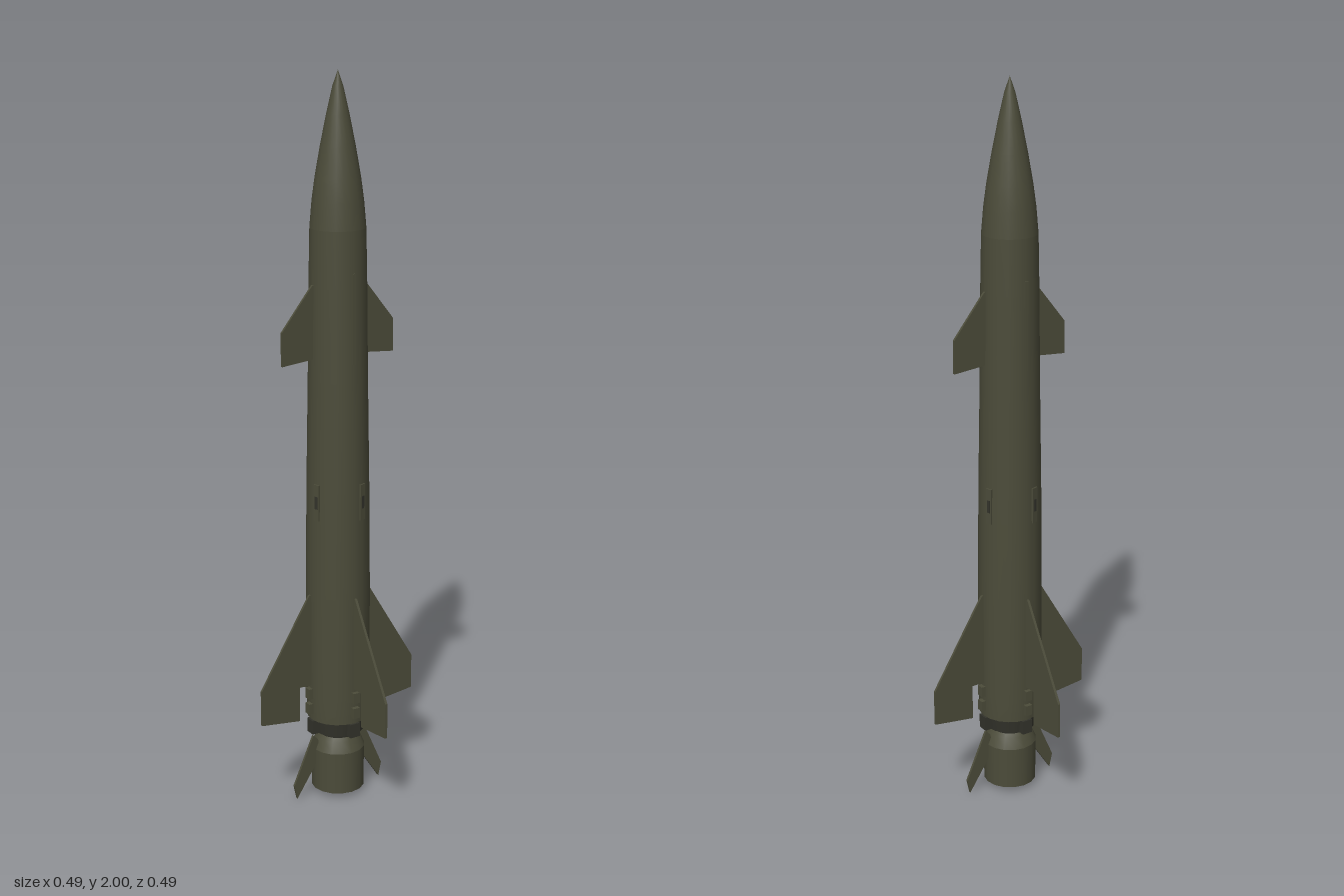
import * as THREE from 'three';

export function createModel() {
  const root = new THREE.Group();
  root.name = 'missile';
  const olive = new THREE.MeshStandardMaterial({ color: 0x4c4c3a });
  olive.name = 'olive paint';
  const dark = new THREE.MeshStandardMaterial({ color: 0x33332b });
  dark.name = 'dark metal';

  const add = (name, geometry, material, parent = root) => {
    const mesh = new THREE.Mesh(geometry, material);
    mesh.name = name;
    parent.add(mesh);
    return mesh;
  };
  const lathe = (points, sides) =>
    new THREE.LatheGeometry(points.map(([r, y]) => new THREE.Vector2(r, y)), sides);

  // Flat plate drawn in the radial (r, y) plane, turned to its place round the body
  const plate = (name, outline, thickness, angle) => {
    const shape = new THREE.Shape(outline.map(([r, y]) => new THREE.Vector2(r, y)));
    const geometry = new THREE.ExtrudeGeometry(shape, { depth: thickness, bevelEnabled: false });
    geometry.translate(0, 0, -thickness / 2);
    add(name, geometry, olive).rotation.y = angle;
  };

  // Box mounted on the skin at a given radius, height and angle
  const block = (name, r, y, angle, [depth, height, width], material) => {
    const geometry = new THREE.BoxGeometry(depth, height, width);
    geometry.translate(r, y, 0);
    add(name, geometry, material).rotation.y = angle;
  };

  // Fuselage: slowly tapering tube and pointed nose
  add('fuselage', lathe([[0, 0.23], [0.086, 0.23]], 20), olive);
  add('fuselageSkin', lathe([
    [0.086, 0.23], [0.088, 0.3], [0.088, 0.6], [0.085, 0.9], [0.08, 1.2],
    [0.077, 1.45], [0.074, 1.6],
  ], 20), olive);
  add('noseCone', lathe([
    [0.074, 1.6], [0.068, 1.67], [0.06, 1.73], [0.046, 1.81], [0.03, 1.89],
    [0.014, 1.96], [0, 2],
  ], 20), olive);

  // Coupling ring and waist between fuselage and booster
  add('couplingRing', new THREE.CylinderGeometry(0.08, 0.074, 0.045, 16), dark).position.y = 0.212;
  add('waist', new THREE.CylinderGeometry(0.06, 0.05, 0.05, 16), dark).position.y = 0.18;

  // Booster with a sloped shoulder and a recessed nozzle
  add('boosterShoulder', lathe([[0.075, 0.135], [0.062, 0.165], [0.048, 0.185]], 16), olive);
  add('boosterCase', lathe([[0.074, 0.015], [0.075, 0.135]], 16), olive);
  add('boosterNozzle', lathe([[0, 0.06], [0.035, 0.055], [0.056, 0.015], [0.074, 0.015]], 16), dark);

  for (let i = 0; i < 4; i++) {
    const angle = i * Math.PI / 2;
    // Main fins with the trailing notch beside the body
    plate('mainFin', [
      [0.08, 0.6], [0.08, 0.335], [0.125, 0.335], [0.125, 0.235],
      [0.245, 0.25], [0.245, 0.35], [0.093, 0.6],
    ].reverse(), 0.007, angle);
    // Hinge blocks behind each fin root
    for (const y of [0.265, 0.31]) block('finHinge', 0.088, y, angle, [0.022, 0.03, 0.02], olive);
    block('couplingLug', 0.08, 0.21, angle, [0.022, 0.04, 0.03], dark);
    // Small hatches at mid body
    block('bodyHatch', 0.0845, 0.87, angle + 0.3, [0.008, 0.1, 0.018], olive);
    block('hatchLatch', 0.0865, 0.87, angle + 0.3, [0.006, 0.035, 0.009], dark);
  }

  // Left and right surfaces
  for (const angle of [0, Math.PI]) {
    plate('frontFin', [
      [0.06, 1.26], [0.172, 1.25], [0.172, 1.34], [0.08, 1.455], [0.06, 1.46],
    ], 0.007, angle);
    plate('boosterFin', [
      [0.06, 0.115], [0.075, 0.1], [0.135, 0.01], [0.144, 0.05], [0.082, 0.19], [0.067, 0.175],
    ], 0.007, angle);
    // Narrow rails on the front and back of the forward body
    block('forwardRail', 0.077, 1.37, angle + Math.PI / 2, [0.008, 0.24, 0.008], olive);
  }
  // Lowest fin tip rests on the ground
  root.children.forEach((part) => {
    if (part.name === 'boosterFin') part.position.y = -0.01;
  });
  return root;
}
